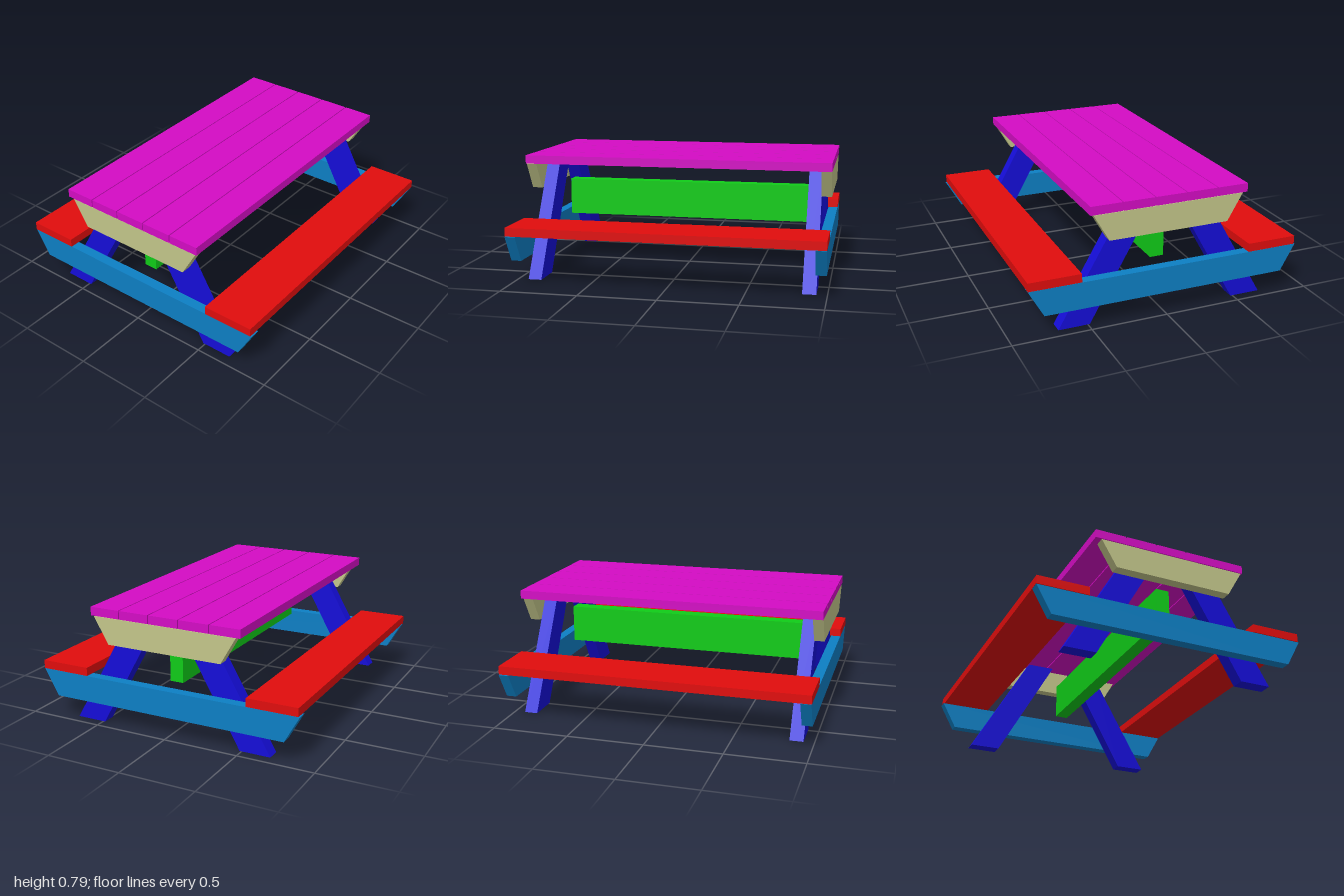
import * as THREE from 'three';

const paint = (color) => new THREE.MeshStandardMaterial({ color, flatShading: true });
const RED = paint(0xe00d0d);
const MAGENTA = paint(0xd40cc4);
const BLUE = paint(0x150dd8);
const TEAL = paint(0x0d7fc4);
const TAN = paint(0xc3c68a);
const GREEN = paint(0x10cc18);

export function createModel() {
  const table = new THREE.Group();
  table.name = 'picnicTable';

  const add = (name, geometry, material) => {
    const mesh = new THREE.Mesh(geometry, material);
    mesh.name = name;
    table.add(mesh);
  };

  // Straight board given by its limits on each axis
  const board = (name, material, [x0, x1], [y0, y1], [z0, z1]) => {
    const g = new THREE.BoxGeometry(x1 - x0, y1 - y0, z1 - z0);
    g.translate((x0 + x1) / 2, (y0 + y1) / 2, (z0 + z1) / 2);
    add(name, g, material);
  };

  // Board cut to a [z, y] outline and extruded along x
  const cutBoard = (name, material, outline, x0, x1) => {
    const shape = new THREE.Shape(outline.map(([z, y]) => new THREE.Vector2(-z, y)));
    const g = new THREE.ExtrudeGeometry(shape, { depth: x1 - x0, bevelEnabled: false });
    g.rotateY(Math.PI / 2).translate(x0, 0, 0);
    add(name, g, material);
  };

  // Table top planks, with narrow gaps
  for (let i = 0; i < 5; i++) {
    const z = -0.01 + (i - 2) * 0.2075;
    board('topPlank', MAGENTA, [-1, 1], [0.735, 0.79], [z - 0.1005, z + 0.1005]);
  }

  // Bench seats
  board('frontSeat', RED, [-1, 1], [0.325, 0.38], [0.56, 0.893]);
  board('backSeat', RED, [-1, 1], [0.325, 0.38], [-0.893, -0.56]);

  // Central stretcher between the leg frames
  board('stretcher', GREEN, [-0.848, 0.832], [0.325, 0.572], [-0.045, 0.045]);

  // End frames: splayed legs inside, tapered cross beams outside
  for (const side of [-1, 1]) {
    const span = (a, b) => (side > 0 ? [a, b] : [-b, -a]);
    const shift = -0.004 * side;
    for (const s of [-1, 1]) {
      const leg = [[0.69, 0], [0.272, 0.725], [0.078, 0.725], [0.487, 0]];
      cutBoard(s > 0 ? 'frontLeg' : 'backLeg', BLUE, leg.map(([z, y]) => [s * z, y]), ...span(0.845, 0.932));
    }
    const beam = (name, material, top, bottom, y0, y1) => cutBoard(name, material,
      [[top, y1], [-top, y1], [-bottom, y0], [bottom, y0]].map(([z, y]) => [z + shift, y]), ...span(0.932, 0.998));
    beam('seatBeam', TEAL, 0.897, 0.8, 0.15, 0.323);
    beam('topBeam', TAN, 0.49, 0.39, 0.56, 0.732);
  }

  return table;
}
